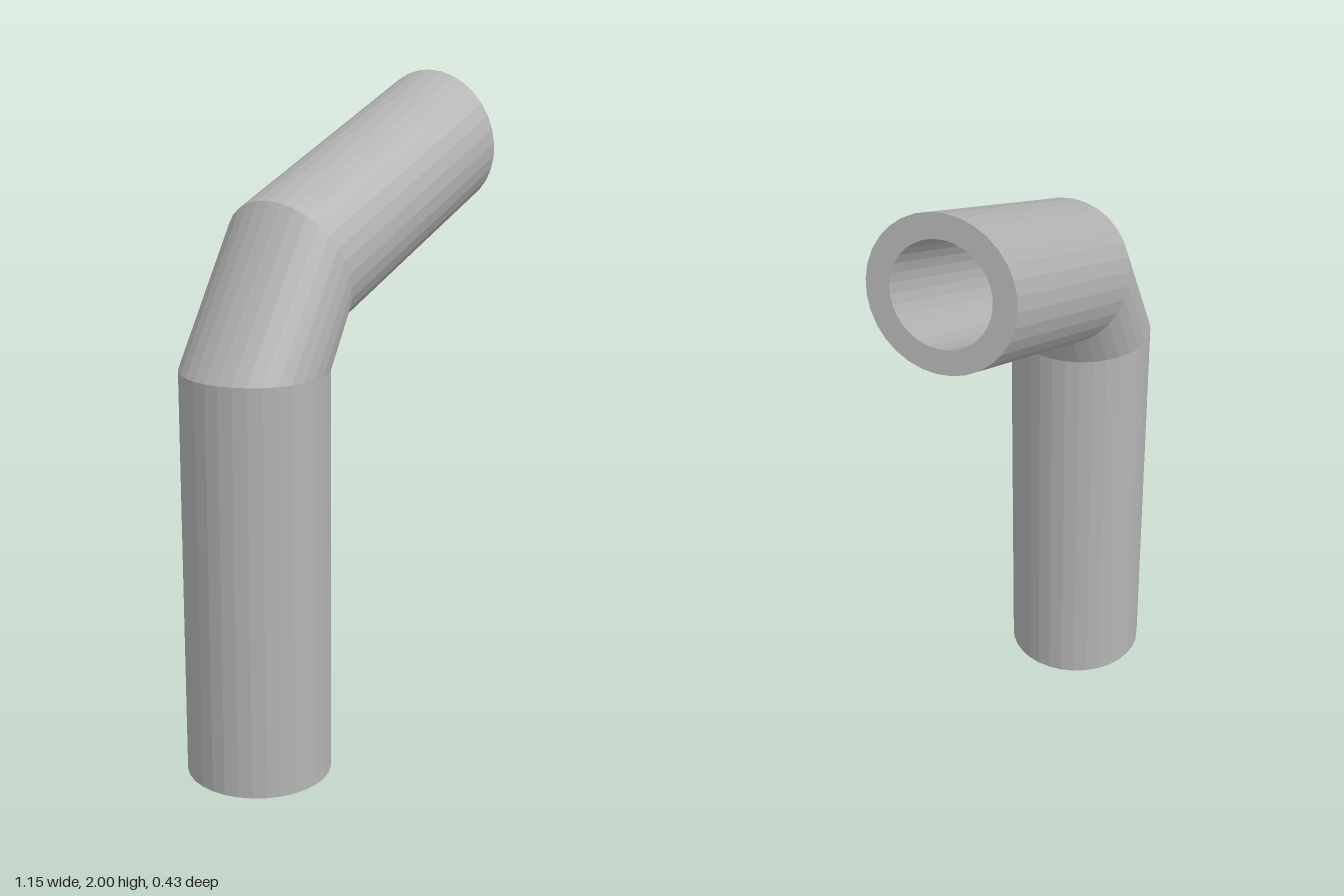
import * as THREE from 'three';

const SIDES = 32;
const RADIUS = 0.215; // half width in z, shared by every section
const BORE = 0.68; // bore size relative to the outside

// Each joint is an elliptical section given by its outer-bend and inner-bend points (x, y)
const joints = [
  { outer: [-0.575, 0], inner: [-0.145, 0] },
  { outer: [-0.575, 1.225], inner: [-0.145, 1.225] },
  { outer: [-0.29, 1.69], inner: [-0.11, 1.3] },
  { outer: [0.507, 2], inner: [0.575, 1.575] },
];

// Ring of points around a joint
function ring({ outer, inner }, scale) {
  const cx = (outer[0] + inner[0]) / 2;
  const cy = (outer[1] + inner[1]) / 2;
  return Array.from({ length: SIDES }, (_, i) => {
    const a = (i / SIDES) * Math.PI * 2;
    const c = Math.cos(a) * scale;
    return [cx + (outer[0] - cx) * c, cy + (outer[1] - cy) * c, RADIUS * scale * Math.sin(a)];
  });
}

// Flat-faced strip joining pairs of rings
function strips(pairs) {
  const positions = [];
  for (const [a, b] of pairs) {
    for (let i = 0; i < SIDES; i++) {
      const j = (i + 1) % SIDES;
      positions.push(...a[i], ...a[j], ...b[j], ...a[i], ...b[j], ...b[i]);
    }
  }
  const geometry = new THREE.BufferGeometry();
  geometry.setAttribute('position', new THREE.Float32BufferAttribute(positions, 3));
  geometry.computeVertexNormals();
  return geometry;
}

export function createModel() {
  const model = new THREE.Group();
  model.name = 'bentPipe';
  const grey = new THREE.MeshStandardMaterial({ color: 0xb4b4b4, flatShading: true });
  grey.name = 'grey';

  const add = (name, pairs) => {
    const mesh = new THREE.Mesh(strips(pairs), grey);
    mesh.name = name;
    model.add(mesh);
  };

  const outside = joints.map((joint) => ring(joint, 1));
  const bore = joints.map((joint) => ring(joint, BORE));

  // Pipe lengths, each with an outer wall and a bore wall
  ['lowerPipe', 'elbow', 'upperPipe'].forEach((name, i) => {
    add(name, [[outside[i], outside[i + 1]], [bore[i + 1], bore[i]]]);
  });

  // Annular end faces
  add('lowerRim', [[bore[0], outside[0]]]);
  add('upperRim', [[outside[3], bore[3]]]);
  return model;
}
